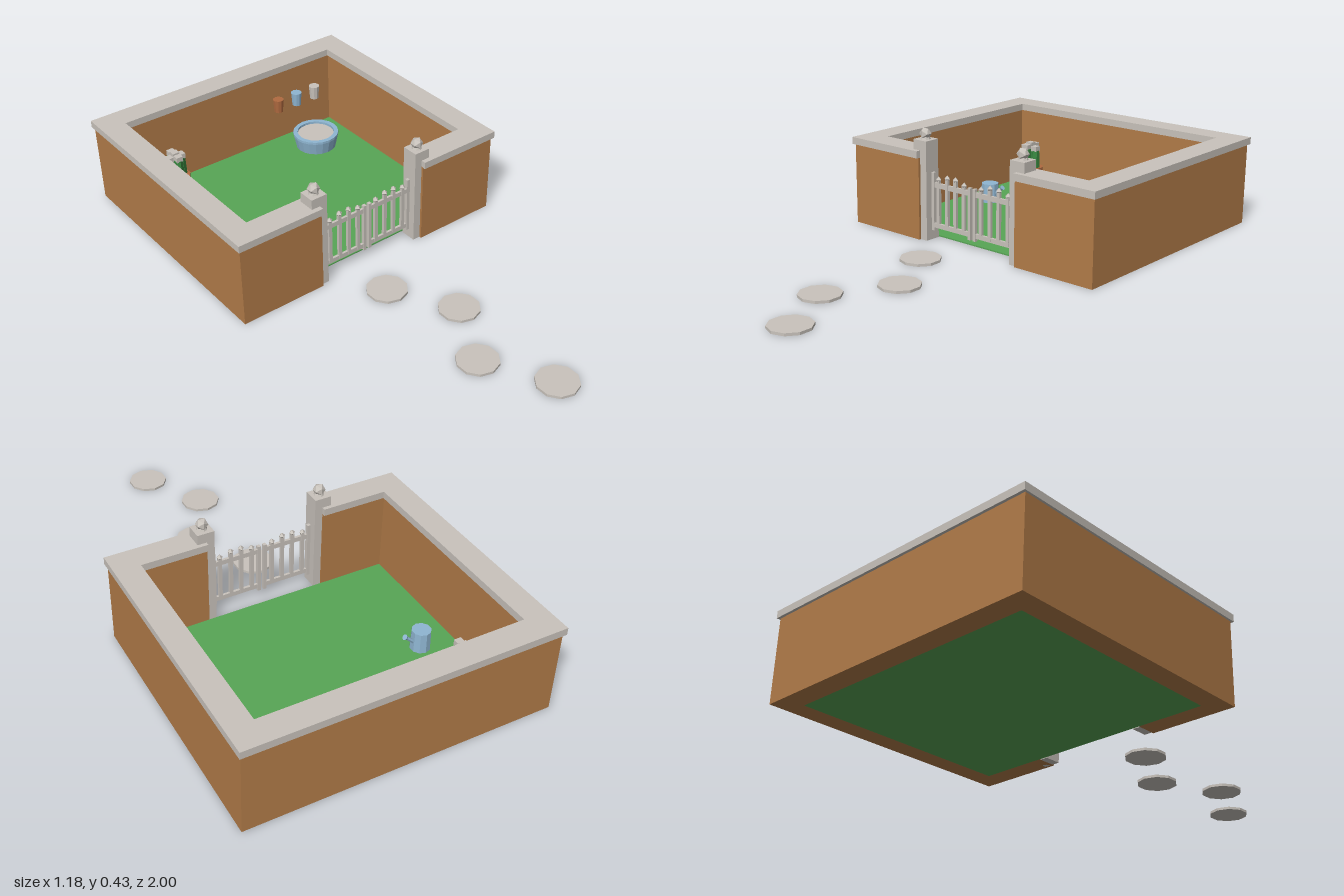
import * as THREE from 'three';

const paint = (name, color) => {
  const m = new THREE.MeshStandardMaterial({ color, flatShading: true });
  m.name = name;
  return m;
};

export function createModel() {
  const brick = paint('brick', 0xb27c49);
  const stone = paint('stone', 0xc9c3bc);
  const grass = paint('grass', 0x58a555);
  const clay = paint('clay', 0xb06a40);
  const blue = paint('blue', 0x8fb6d2);
  const leaf = paint('leaf', 0x3a8a42);

  const garden = new THREE.Group();
  garden.name = 'walledGarden';

  const add = (parent, name, geo, mat, x, y, z) => {
    const mesh = new THREE.Mesh(geo, mat);
    mesh.name = name;
    mesh.position.set(x, y, z);
    parent.add(mesh);
    return mesh;
  };
  // Box given by its lower and upper corners
  const block = (parent, name, mat, [x0, y0, z0], [x1, y1, z1]) =>
    add(parent, name, new THREE.BoxGeometry(x1 - x0, y1 - y0, z1 - z0), mat,
      (x0 + x1) / 2, (y0 + y1) / 2, (z0 + z1) / 2);
  const group = (name, x = 0, y = 0, z = 0) => {
    const g = new THREE.Group();
    g.name = name;
    g.position.set(x, y, z);
    garden.add(g);
    return g;
  };
  // U-shaped outline with a gap at the front, extruded upwards
  const enclosure = (x, front, back, inX, inFront, inBack, gap, y0, y1) => {
    const pts = [[gap, front], [x, front], [x, back], [-x, back], [-x, front], [-gap, front],
      [-gap, inFront], [-inX, inFront], [-inX, inBack], [inX, inBack], [inX, inFront], [gap, inFront]];
    const shape = new THREE.Shape(pts.map(([px, pz]) => new THREE.Vector2(px, -pz)));
    return new THREE.ExtrudeGeometry(shape, { depth: y1 - y0, bevelEnabled: false })
      .rotateX(-Math.PI / 2).translate(0, y0, 0);
  };

  // Lawn, walls and coping
  block(garden, 'lawn', grass, [-0.5, 0, -0.91], [0.5, 0.005, -0.05]);
  add(garden, 'walls', enclosure(0.58, 0.03, -0.99, 0.5, -0.05, -0.91, 0.235, 0, 0.325), brick, 0, 0, 0);
  add(garden, 'coping', enclosure(0.588, 0.04, -1, 0.49, -0.06, -0.9, 0.235, 0.323, 0.351), stone, 0, 0, 0);

  // Gate posts with faceted finials, and the two gate leaves
  const gateZ = -0.012;
  for (const side of [-1, 1]) {
    const post = group(side > 0 ? 'leftGatePost' : 'rightGatePost', side * 0.237, 0, gateZ);
    block(post, 'pillar', stone, [-0.033, 0, -0.033], [0.033, 0.39, 0.033]);
    add(post, 'finialNeck', new THREE.CylinderGeometry(0.015, 0.02, 0.012, 8), stone, 0, 0.396, 0);
    add(post, 'finial', new THREE.IcosahedronGeometry(0.024, 0), stone, 0, 0.411, 0);

    const gate = group(side > 0 ? 'leftGate' : 'rightGate', 0, 0, gateZ);
    const bar = (name, c, w, y0, y1, d) =>
      block(gate, name, stone, [side * c - w / 2, y0, -d / 2], [side * c + w / 2, y1, d / 2]);
    bar('outerStile', 0.196, 0.013, 0.038, 0.267, 0.014);
    bar('innerStile', 0.012, 0.013, 0.038, 0.24, 0.014);
    bar('lowerRail', 0.104, 0.184, 0.05, 0.068, 0.01);
    bar('upperRail', 0.104, 0.184, 0.209, 0.228, 0.01);
    [[0.171, 0.255], [0.127, 0.267], [0.085, 0.267], [0.042, 0.255]].forEach(([x, top]) => {
      bar('picket', x, 0.014, 0.055, top - 0.016, 0.012);
      add(gate, 'picketPoint', new THREE.OctahedronGeometry(0.013), stone, side * x, top - 0.013, 0);
    });
  }

  // Stepping stones
  for (let i = 0; i < 4; i++) {
    add(garden, 'steppingStone', new THREE.CylinderGeometry(0.078, 0.078, 0.01, 10), stone,
      i % 2 ? 0.065 : -0.07, 0.005, 0.195 + i * 0.242);
  }

  // Potted plant
  const plant = group('pottedPlant', -0.352, 0, -0.79);
  add(plant, 'pot', new THREE.CylinderGeometry(0.05, 0.038, 0.085, 10), clay, 0, 0.0475, 0);
  add(plant, 'potRim', new THREE.CylinderGeometry(0.055, 0.055, 0.02, 10), clay, 0, 0.1, 0);
  for (let i = 0; i < 5; i++) {
    const a = i * Math.PI / 2;
    const r = i < 4 ? 0.026 : 0;
    const x = r * Math.cos(a), z = r * Math.sin(a);
    const h = i < 4 ? 0.185 + 0.008 * (i % 2) : 0.2;
    add(plant, 'leaves', new THREE.CylinderGeometry(0.017, 0.02, h - 0.1, 6), leaf, x, (h + 0.1) / 2, z);
    add(plant, 'bloom', new THREE.BoxGeometry(0.028, 0.022, 0.028), stone, x, h + 0.008, z);
  }

  // Watering can
  const can = group('wateringCan', -0.365, 0, -0.535);
  add(can, 'canBody', new THREE.CylinderGeometry(0.036, 0.038, 0.08, 10), blue, 0, 0.045, 0);
  const spout = add(can, 'spout', new THREE.CylinderGeometry(0.006, 0.008, 0.055, 6), blue, 0.049, 0.058, 0);
  spout.rotation.z = -0.85;
  const rose = add(can, 'spoutRose', new THREE.CylinderGeometry(0.011, 0.007, 0.01, 8), blue, 0.066, 0.073, 0);
  rose.rotation.z = -0.85;

  // Round tub, open at the top
  const tub = group('tub', 0.32, 0, -0.765);
  const rim = [[0.085, 0.004], [0.097, 0.06], [0.097, 0.07], [0.078, 0.07], [0.078, 0.055]]
    .map(([r, y]) => new THREE.Vector2(r, y));
  add(tub, 'tubWall', new THREE.LatheGeometry(rim, 20), blue, 0, 0, 0);
  add(tub, 'tubFilling', new THREE.CylinderGeometry(0.079, 0.079, 0.055, 20), stone, 0, 0.0325, 0);

  // Small pots hung on the back wall
  [[0.212, clay], [0.306, blue], [0.4, stone]].forEach(([x, mat]) =>
    add(garden, 'wallPot', new THREE.CylinderGeometry(0.023, 0.019, 0.058, 10), mat, x, 0.185, -0.88));

  return garden;
}
